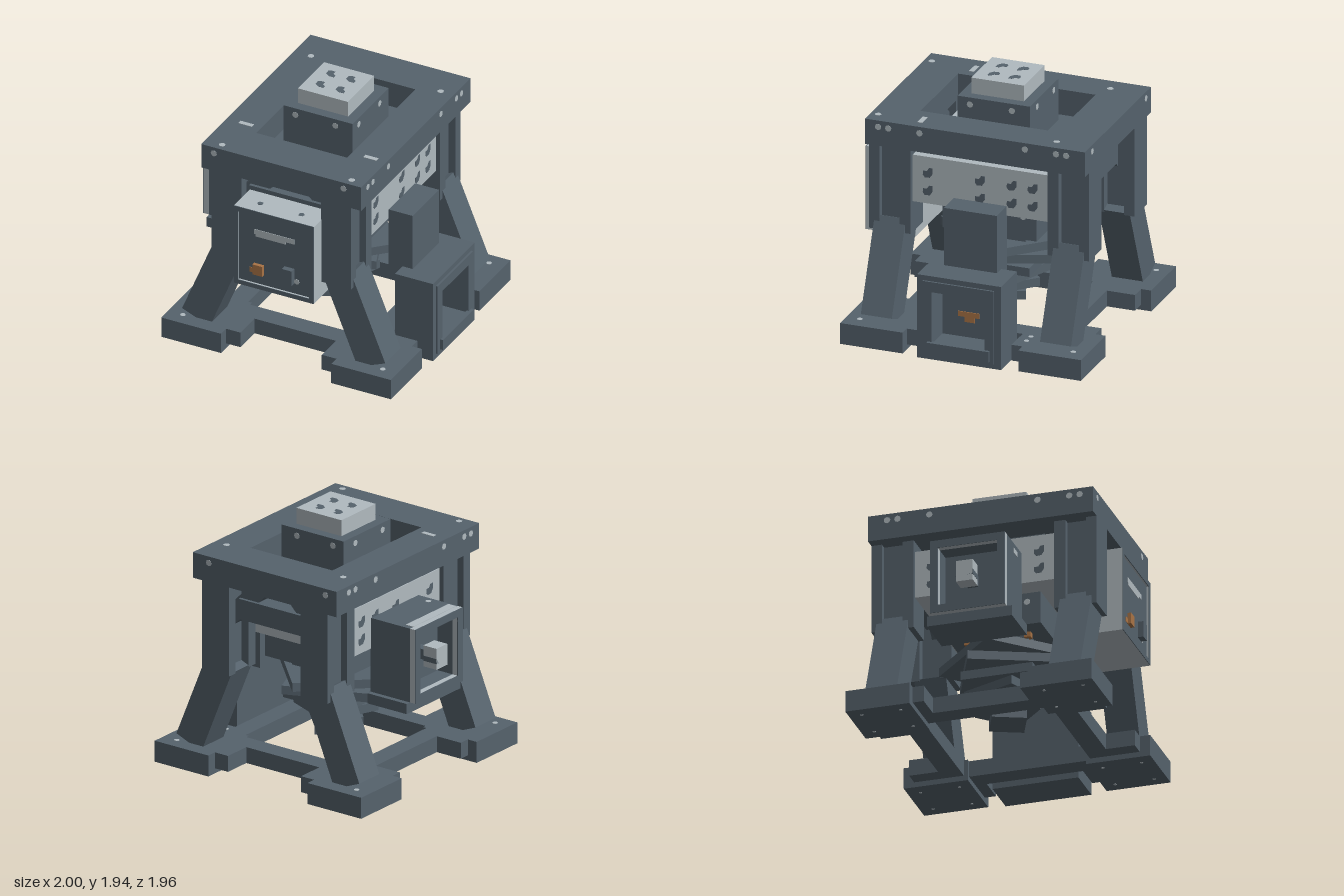
import * as THREE from 'three';

const mat = (name, color) => {
  const m = new THREE.MeshStandardMaterial({ color });
  m.name = name;
  return m;
};

export function createModel() {
  const slate = mat('slate steel', 0x55626c);
  const light = mat('bare metal', 0xb0babf);
  const orange = mat('copper orange', 0xaa7446);
  const model = new THREE.Group();
  model.name = 'stampingMachine';

  // All symmetric structure shares one slightly offset centre
  const CX = -0.013, CZ = -0.035;
  const core = new THREE.Group();
  core.name = 'structure';
  core.position.set(CX, 0, CZ);
  model.add(core);

  const add = (name, geo, m, parent = model) => {
    const mesh = new THREE.Mesh(geo, m);
    mesh.name = name;
    parent.add(mesh);
    return mesh;
  };
  // Box from its minimum and maximum on each axis
  const box = (name, m, [x0, x1], [y0, y1], [z0, z1], parent = model) => {
    const b = add(name, new THREE.BoxGeometry(x1 - x0, y1 - y0, z1 - z0), m, parent);
    b.position.set((x0 + x1) / 2, (y0 + y1) / 2, (z0 + z1) / 2);
    return b;
  };
  // Rectangular ring in the xy plane, extruded along +z
  const ringGeo = ([a0, a1], [b0, b1], [c0, c1], [d0, d1], depth) => {
    const rect = (P, x0, x1, y0, y1) => {
      const p = new P();
      p.moveTo(x0, y0); p.lineTo(x1, y0); p.lineTo(x1, y1); p.lineTo(x0, y1); p.closePath();
      return p;
    };
    const s = rect(THREE.Shape, a0, a1, b0, b1);
    s.holes.push(rect(THREE.Path, c0, c1, d0, d1));
    return new THREE.ExtrudeGeometry(s, { depth, bevelEnabled: false });
  };
  // Thin round stud facing along one axis
  const studGeo = new THREE.CylinderGeometry(0.025, 0.025, 0.005, 8);
  const stud = (name, m, axis, x, y, z, parent = model, scale = 1) => {
    const s = add(name, studGeo, m, parent);
    s.position.set(x, y, z);
    s.scale.set(scale, 1, scale);
    if (axis === 'x') s.rotation.z = Math.PI / 2;
    if (axis === 'z') s.rotation.x = Math.PI / 2;
  };
  // Comma-shaped punched mark, facing +z before rotation
  const markGeo = new THREE.ExtrudeGeometry(new THREE.Shape([
    [-0.04, -0.02], [-0.025, -0.04], [0.015, -0.038], [0.038, -0.005], [0.038, 0.04],
    [0.01, 0.038], [-0.008, 0.012], [-0.038, 0.012],
  ].map(([x, y]) => new THREE.Vector2(x, y))), { depth: 0.003, bevelEnabled: false });
  const mark = (x, y, z, rx, ry, rz = 0) => {
    const m = add('punchedMark', markGeo, slate, core);
    m.position.set(x, y, z);
    m.rotation.set(rx, ry, rz);
  };
  const sides = [-1, 1];

  // Top frame
  const top = add('topFrame', ringGeo([-0.66, 0.66], [-0.865, 0.865], [-0.375, 0.375], [-0.54, 0.54], 0.2), slate, core);
  top.rotation.x = -Math.PI / 2;
  top.position.y = 1.49;

  // Four corners: foot, collars, slanted leg, flanged post
  for (const sx of sides) for (const sz of sides) {
    const corner = new THREE.Group();
    corner.name = 'corner';
    core.add(corner);
    const span = (s, a, b) => (s > 0 ? [a, b] : [-b, -a]);
    box('foot', slate, span(sx, 0.455, 0.947), [0, 0.165], span(sz, 0.455, 0.947), corner);
    box('sideCollar', slate, span(sx, 0.545, 0.865), [0.04, 0.165], span(sz, 0.37, 0.46), corner);
    box('endCollar', slate, span(sx, 0.335, 0.46), [0.04, 0.165], span(sz, 0.545, 0.867), corner);
    const leg = box('leg', slate, [-0.123, 0.123], [-0.37, 0.37], [-0.122, 0.122], corner);
    leg.position.set(sx * 0.585, 0.508, sz * 0.705);
    leg.rotation.z = sx * 0.388;
    box('innerFlange', slate, span(sx, 0.328, 0.576), [0.79, 1.49], span(sz, 0.54, 0.625), corner);
    box('outerFlange', slate, span(sx, 0.328, 0.576), [0.79, 1.49], span(sz, 0.785, 0.865), corner);
    box('postWeb', slate, span(sx, 0.395, 0.52), [0.79, 1.49], span(sz, 0.62, 0.79), corner);
    // Diagonal brace under the top frame
    const brace = box('brace', slate, [-0.21, 0.21], [-0.067, 0.067], [-0.06, 0.06], corner);
    brace.position.set(sx * 0.292, 1.336, sz * 0.65);
    brace.rotation.z = -sx * Math.PI / 4;
    // Studs on frame and feet
    stud('frameStud', light, 'y', sx * 0.535 + 0.015, 1.69, sz * (sz > 0 ? 0.805 : 0.6), corner);
    stud('frontStud', light, 'z', sx * 0.535 - 0.022, 1.64, sz * 0.865, corner);
    for (const z of [0.415, 0.66, 0.74]) stud('sideStud', light, 'x', sx * 0.66, 1.64, sz * z + 0.022, corner);
    stud('footStud', light, 'y', sx * 0.825, 0.165, sz * 0.84, corner, 0.85);
    for (const dx of sides) for (const dz of sides)
      stud('footPin', light, 'y', sx * 0.705 + dx * 0.15, 0, sz * 0.7 + dz * 0.15, corner, 0.5);
  }
  // Base rails
  for (const s of sides) {
    box('sideRail', slate, [s * 0.565 - 0.08, s * 0.565 + 0.08], [0.04, 0.165], [-0.46, 0.46], core);
    box('endRail', slate, [-0.46, 0.46], [0.04, 0.165], [s * 0.565 - 0.08, s * 0.565 + 0.08], core);
    // Scuffs on the frame top, studs on one back foot
    box('frameScuff', light, [s * 0.515 - 0.04, s * 0.515 + 0.07], [1.688, 1.693], [0.445, 0.482], core);
    stud('footStud', light, 'y', 0.715 + s * 0.043, 0.165, -0.445, core, 0.8);
  }

  // Ram head and cap
  box('ramHead', slate, [-0.285, 0.285], [1.45, 1.815], [-0.285, 0.285], core);
  box('ramCap', light, [-0.207, 0.207], [1.815, 1.94], [-0.207, 0.207], core);
  for (const s of sides) for (const t of sides) {
    mark(s * 0.083, 1.938, t * 0.083 - 0.005, -Math.PI / 2, 0, Math.PI / 2 * 3);
    stud('headStudFront', light, 'z', s * 0.165 - 0.022, 1.76, t * 0.285, core);
    stud('headStudSide', light, 'x', t * 0.285, 1.76, s * 0.165 + 0.022, core);
  }

  // Press body, filling the width between the posts
  box('pressBody', light, [-0.545, 0.545], [1.04, 1.41], [-0.54, 0.535], core);
  box('bodyCover', slate, [-0.4, 0.4], [1.41, 1.488], [-0.41, 0.41], core);
  box('coverTail', slate, [-0.25, 0.25], [1.41, 1.488], [-0.54, -0.41], core);
  for (const [x, z] of [[0.308, -0.11], [0.308, 0.3], [-0.107, 0.3]]) stud('coverStud', light, 'y', x, 1.488, z, core);
  for (const x of [-0.27, -0.02]) stud('bodyTopHole', slate, 'y', x, 1.41, 0.43, core, 0.8);
  for (const s of sides) {
    for (const y of [1.145, 1.285]) {
      for (const z of [0.415, 0.005, -0.245, -0.41]) mark(s * 0.544, y, z, 0, s * Math.PI / 2);
      mark(s * 0.2, y, -0.539, 0, Math.PI);
    }
  }
  box('lowerBody', slate, [-0.37, 0.37], [0.79, 1.04], [-0.37, 0.37], core);
  box('neck', slate, [-0.23, 0.23], [0.7, 0.79], [-0.23, 0.23], core);
  for (const s of sides) for (const t of sides) {
    stud('lowerStud', light, 'x', s * 0.37, 0.97, t * 0.265, core);
    box('neckClamp', orange, [s * 0.23 - 0.025, s * 0.23 + 0.025], [0.745, 0.785], [t * 0.23 - 0.025, t * 0.23 + 0.025], core);
  }

  // Twisted stack of square plates on a shaft
  box('shaft', slate, [-0.083, 0.083], [0.2, 0.72], [-0.083, 0.083], core);
  for (let i = 0; i < 6; i++) {
    const w = (0.26 + 0.098 * i) / 2, y = 0.18 + 0.0925 * i;
    box('twistPlate', slate, [-w, w], [y, y + 0.068], [-w, w], core).rotation.y = (i - 3) * Math.PI / 8;
  }

  // Cross beams between the posts
  box('frontBeam', slate, [-0.345, 0.325], [1.2, 1.36], [0.53, 0.7]);
  box('backBeam', slate, [-0.345, 0.325], [1.2, 1.36], [-0.77, -0.6]);

  // Front control box
  box('controlSupport', slate, [-0.12, 0.1], [0.95, 1.04], [0.46, 0.6]);
  box('controlBox', light, [-0.34, 0.32], [0.665, 1.325], [0.56, 0.93]);
  add('controlRim', ringGeo([-0.34, 0.32], [0.665, 1.325], [-0.305, 0.28], [0.7, 1.285], 0.02), light).position.z = 0.93;
  add('rimFace', ringGeo([-0.34, 0.32], [0.665, 1.325], [-0.305, 0.28], [0.7, 1.285], 0.006), slate).position.z = 0.949;
  box('controlPanel', slate, [-0.305, 0.28], [0.7, 1.285], [0.928, 0.936]);
  box('scuff', light, [-0.18, 0.15], [1.12, 1.16], [0.934, 0.94]);
  box('scuffLower', light, [-0.17, 0.08], [1.1, 1.121], [0.934, 0.94]);
  box('orangeButton', orange, [-0.18, -0.1], [0.785, 0.87], [0.93, 0.965]);
  box('orangeMark', orange, [-0.22, -0.18], [0.785, 0.825], [0.934, 0.94]);
  box('slateButton', slate, [0.07, 0.15], [0.785, 0.91], [0.93, 0.98]);
  stud('panelStud', light, 'z', 0.17, 0.805, 0.937, model, 0.9);
  for (const x of [-0.18, 0.16]) stud('controlTopStud', slate, 'y', x, 1.325, 0.84, model, 0.9);

  // Lower side cabinet with a deep opening and chimney
  const cabinet = new THREE.Group();
  cabinet.name = 'sideCabinet';
  model.add(cabinet);
  box('cabinetBack', slate, [0.645, 0.76], [0, 0.66], [-0.365, 0.295], cabinet);
  const xRing = (name, x, m, parent, ...r) => {
    const g = add(name, ringGeo(...r), m, parent);
    g.rotation.y = Math.PI / 2;
    g.position.x = x;
  };
  xRing('cabinetShell', 0.76, slate, cabinet, [-0.295, 0.365], [0, 0.66], [-0.175, 0.24], [0.13, 0.54], 0.2);
  xRing('openingRim', 0.96, slate, cabinet, [-0.25, 0.31], [0.04, 0.62], [-0.175, 0.24], [0.13, 0.54], 0.015);
  box('sill', slate, [0.96, 1], [0.06, 0.145], [-0.28, 0.21], cabinet);
  box('ember', orange, [0.758, 0.766], [0.29, 0.33], [-0.115, 0.05], cabinet);
  box('emberLow', orange, [0.758, 0.766], [0.25, 0.29], [-0.08, 0], cabinet);
  box('chimney', slate, [0.53, 0.73], [0.6, 1.115], [-0.24, 0.175], cabinet);

  // Upper side box with framed opening and plunger
  const housing = new THREE.Group();
  housing.name = 'sideHousing';
  model.add(housing);
  box('housingTray', slate, [-0.915, -0.555], [0.62, 0.7], [-0.37, 0.285], housing);
  box('housingBack', slate, [-0.78, -0.555], [0.7, 1.28], [-0.33, 0.245], housing);
  const hole = [[-0.245, 0.33], [0.7, 1.28], [-0.185, 0.27], [0.76, 1.22]];
  xRing('housingShell', -0.915, slate, housing, ...hole, 0.135);
  xRing('wornRim', -0.96, light, housing, ...hole, 0.045);
  xRing('rimFacing', -0.965, slate, housing, ...hole, 0.006);
  box('plungerStem', slate, [-0.9, -0.77], [0.95, 1.03], [-0.095, -0.015], housing);
  box('plunger', light, [-1, -0.88], [0.91, 1.075], [-0.12, 0.01], housing);
  box('plungerBand', slate, [-1, -0.88], [0.955, 0.995], [-0.122, 0.012], housing);
  box('housingScuff', light, [-0.755, -0.675], [1.2, 1.24], [0.243, 0.249], housing);
  box('wornTop', light, [-0.915, -0.845], [1.278, 1.283], [-0.29, 0.23], housing);
  stud('housingStud', light, 'y', -0.69, 1.28, 0.19, housing, 0.9);

  return model;
}
